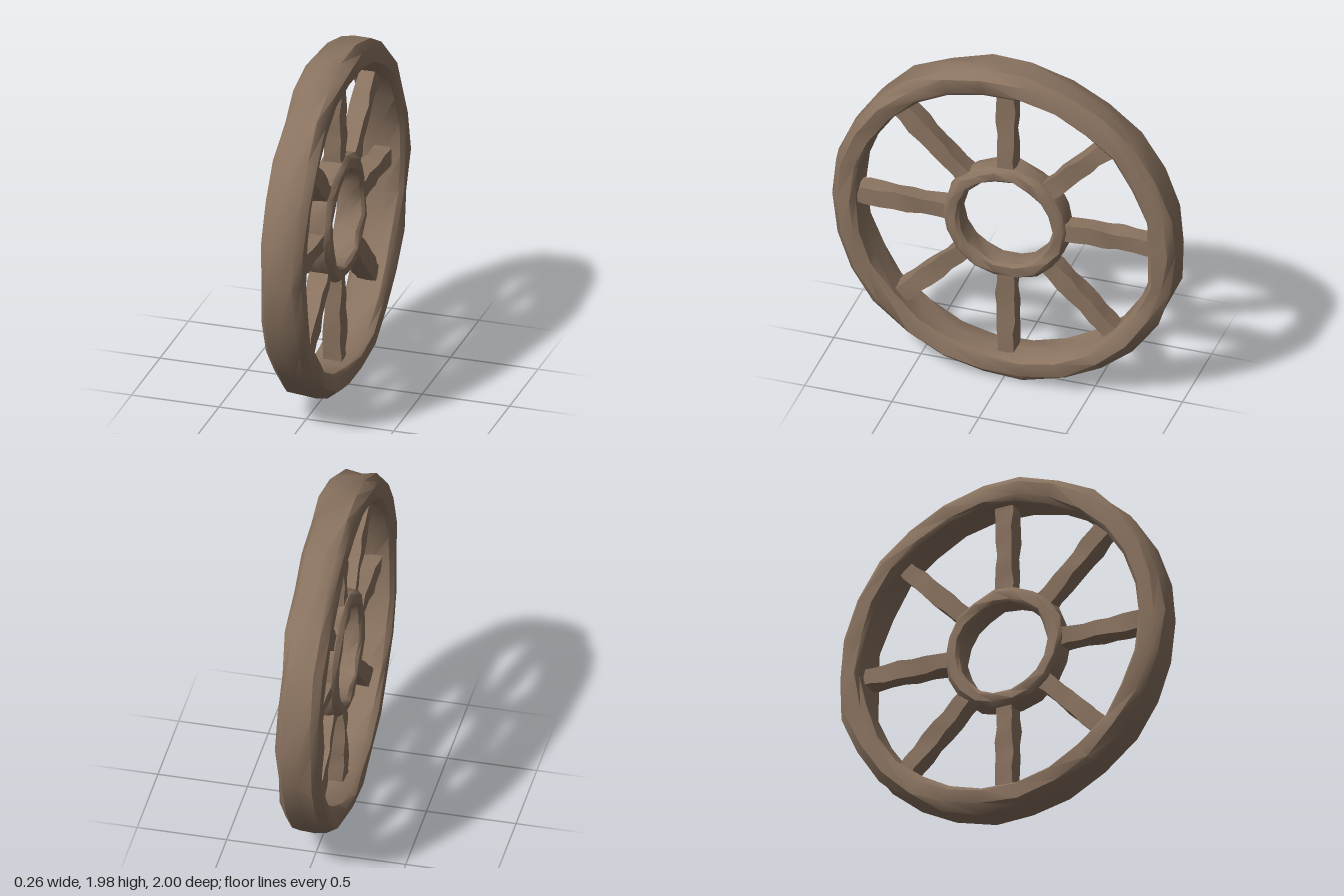
import * as THREE from 'three';
import { mergeVertices, toCreasedNormals } from 'three/addons/utils/BufferGeometryUtils.js';

const wood = new THREE.MeshStandardMaterial({ color: 0x8a7360 });

// Repeatable noise in -1..1 from a position, so coincident corners stay joined
function noise(x, y, z, seed) {
  return Math.sin(x * 31.7 + y * 17.3 + z * 23.9 + seed) * Math.cos(x * 13.1 - y * 29.3 + z * 11.7 + seed * 2.3);
}

// Give a geometry an uneven, hand-hewn surface with partly sharp edges
function hew(geometry, amount, seed) {
  geometry.deleteAttribute('uv');
  geometry.deleteAttribute('normal');
  const welded = mergeVertices(geometry, 1e-4);
  const p = welded.attributes.position;
  for (let i = 0; i < p.count; i++) {
    const x = p.getX(i), y = p.getY(i), z = p.getZ(i);
    p.setXYZ(i,
      x + amount * noise(x, y, z, seed),
      y + amount * noise(x, y, z, seed + 5),
      z + amount * noise(x, y, z, seed + 11));
  }
  return toCreasedNormals(welded, 0.72);
}

// Ring around the x axis with a chamfered rectangular section
function ring(name, inner, outer, half, chamfer, sides, rough, seed) {
  const c = chamfer;
  const section = [
    [outer, -half + c], [outer, 0], [outer, half - c], [outer - c, half],
    [inner + c * 0.6, half], [inner, half - c * 0.6], [inner, 0], [inner, -half + c * 0.6],
    [inner + c * 0.6, -half], [outer - c, -half], [outer, -half + c],
  ].map(([r, h]) => new THREE.Vector2(r, h));
  const geometry = new THREE.LatheGeometry(section, sides);
  geometry.rotateZ(Math.PI / 2);
  const mesh = new THREE.Mesh(hew(geometry, rough, seed), wood);
  mesh.name = name;
  return mesh;
}

export function createModel() {
  const wheel = new THREE.Group();
  wheel.name = 'wheel';
  wheel.position.y = 1;

  wheel.add(ring('rim', 0.848, 0.99, 0.12, 0.04, 26, 0.012, 1));
  wheel.add(ring('hub', 0.268, 0.357, 0.078, 0.025, 18, 0.01, 4));

  // Eight square spokes from hub to rim
  const from = 0.31, to = 0.89;
  for (let i = 0; i < 8; i++) {
    const geometry = new THREE.BoxGeometry(0.1, to - from, 0.1, 1, 7, 1);
    const spoke = new THREE.Mesh(hew(geometry, 0.009, i * 3.7), wood);
    spoke.name = 'spoke' + (i + 1);
    spoke.geometry.translate(0, (from + to) / 2, 0);
    spoke.rotation.x = (i * Math.PI) / 4;
    wheel.add(spoke);
  }

  const model = new THREE.Group();
  model.name = 'woodenWheel';
  model.add(wheel);
  return model;
}
